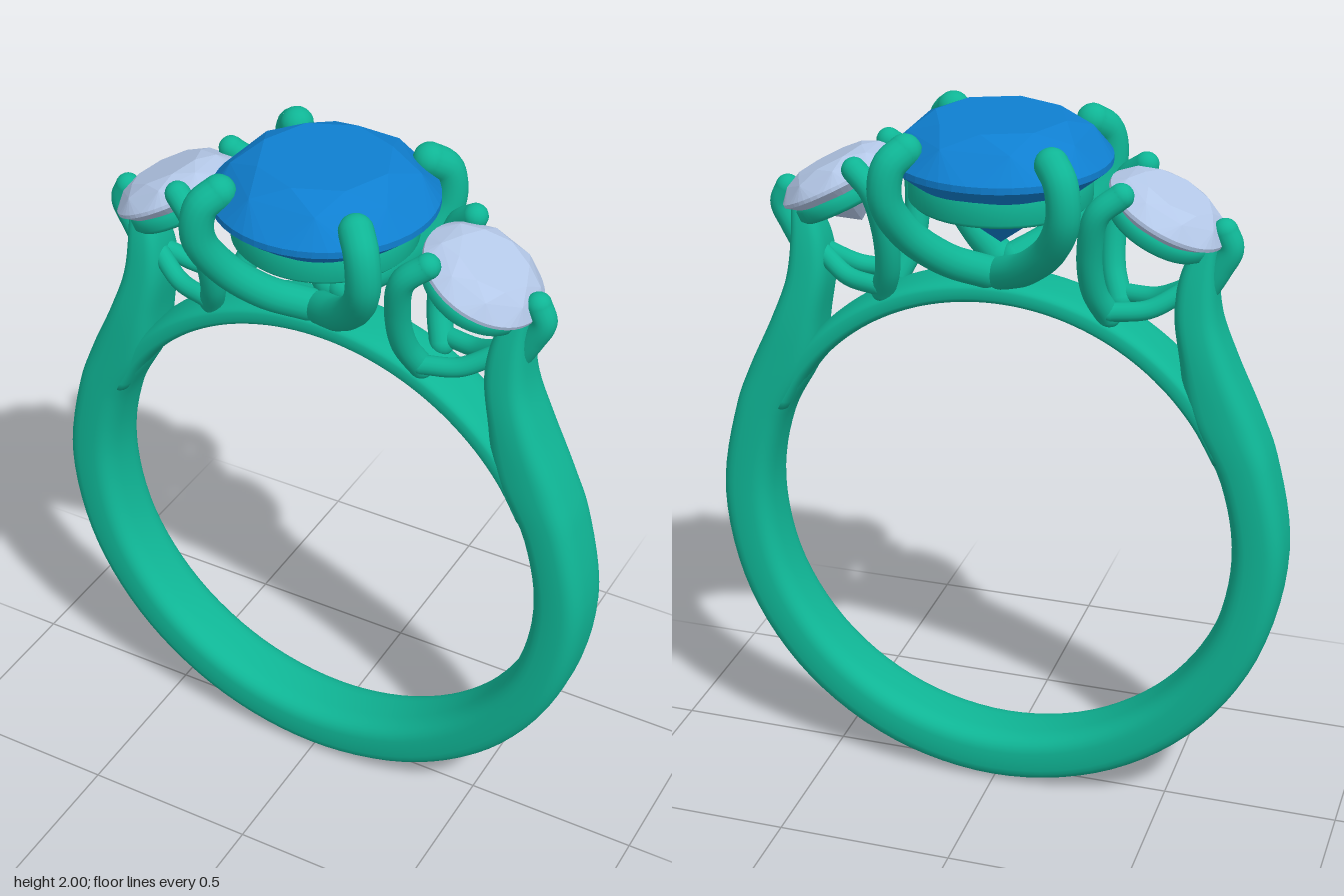
import * as THREE from 'three';
import { mergeGeometries } from 'three/addons/utils/BufferGeometryUtils.js';
import { ConvexGeometry } from 'three/addons/geometries/ConvexGeometry.js';

const metal = new THREE.MeshStandardMaterial({ color: 0x0fb595 });
const blue = new THREE.MeshStandardMaterial({ color: 0x0f7fd0 });
const pale = new THREE.MeshStandardMaterial({ color: 0xb4c8e8 });
const CY = 0.825; // centre height of the finger hole
const V = (x, y, z = 0) => new THREE.Vector3(x, y, z);

function part(parent, name, geometry, material = metal) {
  const m = new THREE.Mesh(geometry, material);
  m.name = name;
  parent.add(m);
  return m;
}

// Rounded-rectangle sections swept between an inner and an outer edge;
// the outer edge carries the half width in z.
function loft(inner, outer, steps, n = 32) {
  const ci = new THREE.CatmullRomCurve3(inner), co = new THREE.CatmullRomCurve3(outer);
  const pos = [], idx = [];
  const soft = (c) => Math.sign(c) * Math.abs(c) ** 0.62;
  for (let i = -1; i <= steps + 1; i++) {
    const t = Math.min(Math.max(i / steps, 0), 1);
    const size = i < 0 || i > steps ? 0 : 1; // collapsed rings close the ends
    const a = ci.getPoint(t), b = co.getPoint(t), hw = b.z;
    for (let j = 0; j < n; j++) {
      const ang = (j / n) * Math.PI * 2;
      const u = soft(Math.cos(ang)) * size / 2, w = soft(Math.sin(ang)) * size;
      pos.push((a.x + b.x) / 2 + (b.x - a.x) * u, (a.y + b.y) / 2 + (b.y - a.y) * u, hw * w);
    }
  }
  for (let i = 0; i < steps + 2; i++) for (let j = 0; j < n; j++) {
    const k = (j + 1) % n, p = i * n, q = p + n;
    idx.push(p + j, p + k, q + j, p + k, q + k, q + j);
  }
  const g = new THREE.BufferGeometry();
  g.setAttribute('position', new THREE.Float32BufferAttribute(pos, 3));
  g.setIndex(idx);
  g.computeVertexNormals();
  return g;
}

// Round wire with domed ends
function wire(points, r) {
  const curve = new THREE.CatmullRomCurve3(points);
  const ends = [points[0], points[points.length - 1]].map((p) =>
    new THREE.SphereGeometry(r, 16, 12).translate(p.x, p.y, p.z));
  return mergeGeometries([new THREE.TubeGeometry(curve, 40, r, 16), ...ends]);
}

// Round brilliant cut, girdle at y = 0
function gem(R, crown, pavilion) {
  const pts = [V(0, -pavilion, 0)];
  const ring = (n, r, y, shift = 0) => {
    for (let i = 0; i < n; i++) {
      const a = ((i + shift) / n) * Math.PI * 2;
      pts.push(V(r * R * Math.cos(a), y, r * R * Math.sin(a)));
    }
  };
  ring(8, 0.6, crown);
  ring(8, 0.82, crown * 0.66, 0.5);
  ring(48, 1, 0);
  ring(48, 1, -0.06 * R);
  ring(8, 0.55, -0.06 * R - (pavilion - 0.06 * R) * 0.48, 0.5);
  return new ConvexGeometry(pts);
}

// Flat-walled ring under a stone
function seat(rIn, rOut, y0, y1) {
  const b = 0.012;
  const p = [[rIn, y0], [rOut - b, y0], [rOut, y0 + b], [rOut, y1 - b], [rOut - b, y1], [rIn, y1], [rIn, y0]];
  return new THREE.LatheGeometry(p.map(([x, y]) => new THREE.Vector2(x, y)), 64);
}

export function createModel() {
  const ring = new THREE.Group();
  ring.name = 'ring';

  // Shank: from the left shoulder down round the bottom to the right shoulder
  const inner = [V(0.535, 1.72), V(0.495, 1.62), V(0.485, 1.52), V(0.505, 1.39), V(0.53, 1.25)];
  const outer = [V(0.59, 1.73, 0.035), V(0.59, 1.62, 0.062), V(0.605, 1.5, 0.08),
    V(0.65, 1.38, 0.093), V(0.725, 1.22, 0.098)];
  for (const deg of [20, 0, -22.5, -45, -67.5, -90]) {
    const a = THREE.MathUtils.degToRad(deg), c = Math.cos(a), s = Math.sin(a);
    inner.push(V(0.67 * c, CY + 0.67 * s));
    outer.push(V(0.817 * c, CY + 0.82 * s, 0.1));
  }
  const mirror = (list) => list.concat(list.slice(0, -1).reverse().map((p) => V(-p.x, p.y, p.z)));
  part(ring, 'shank', loft(mirror(inner), mirror(outer), 120));

  // Arch closing the finger hole under the stones
  const archIn = [], archOut = [];
  for (let deg = 155; deg >= 25; deg -= 10) {
    const a = THREE.MathUtils.degToRad(deg), c = Math.cos(a), s = Math.sin(a);
    archIn.push(V(0.67 * c, CY + 0.67 * s));
    archOut.push(V(0.738 * c, CY + 0.738 * s, 0.09));
  }
  part(ring, 'arch', loft(archIn, archOut, 60));

  // Centre stone in its four-prong basket
  part(ring, 'centreStone', gem(0.297, 0.1, 0.25), blue).position.y = 1.9;
  part(ring, 'centreSeat', seat(0.195, 0.245, 1.77, 1.85));
  for (const sx of [1, -1]) for (const sz of [1, -1]) {
    const path = [[0.02, 1.585, 0.06], [0.11, 1.635, 0.13], [0.195, 1.72, 0.195],
      [0.237, 1.82, 0.24], [0.228, 1.91, 0.235], [0.195, 1.945, 0.2]];
    part(ring, 'centreProng', wire(path.map(([x, y, z]) => V(x * sx, y, z * sz)), 0.045));
  }

  // Side settings, the second turned half way round
  for (const turn of [0, Math.PI]) {
    const side = new THREE.Group();
    side.name = turn ? 'rightSetting' : 'leftSetting';
    side.rotation.y = turn;
    ring.add(side);

    const head = new THREE.Group();
    head.name = 'sideHead';
    head.position.set(0.455, 1.79, 0);
    head.rotation.z = -0.48;
    side.add(head);
    part(head, 'sideStone', gem(0.17, 0.052, 0.135), pale);
    part(head, 'sideSeat', seat(0.115, 0.148, -0.075, -0.025));

    part(side, 'outerProng', wire([V(0.55, 1.56), V(0.595, 1.64), V(0.622, 1.7), V(0.605, 1.745)], 0.034));
    for (const s of [1, -1]) {
      part(side, 'innerProng', wire([V(0.315, 1.5, 0.06 * s), V(0.285, 1.58, 0.1 * s), V(0.28, 1.7, 0.135 * s),
        V(0.305, 1.81, 0.155 * s), V(0.36, 1.858, 0.135 * s)], 0.034));
      part(side, 'crossbar', wire([V(0.51, 1.575, 0.01 * s), V(0.42, 1.525, 0.05 * s), V(0.32, 1.515, 0.075 * s)], 0.026));
    }
  }
  return ring;
}
